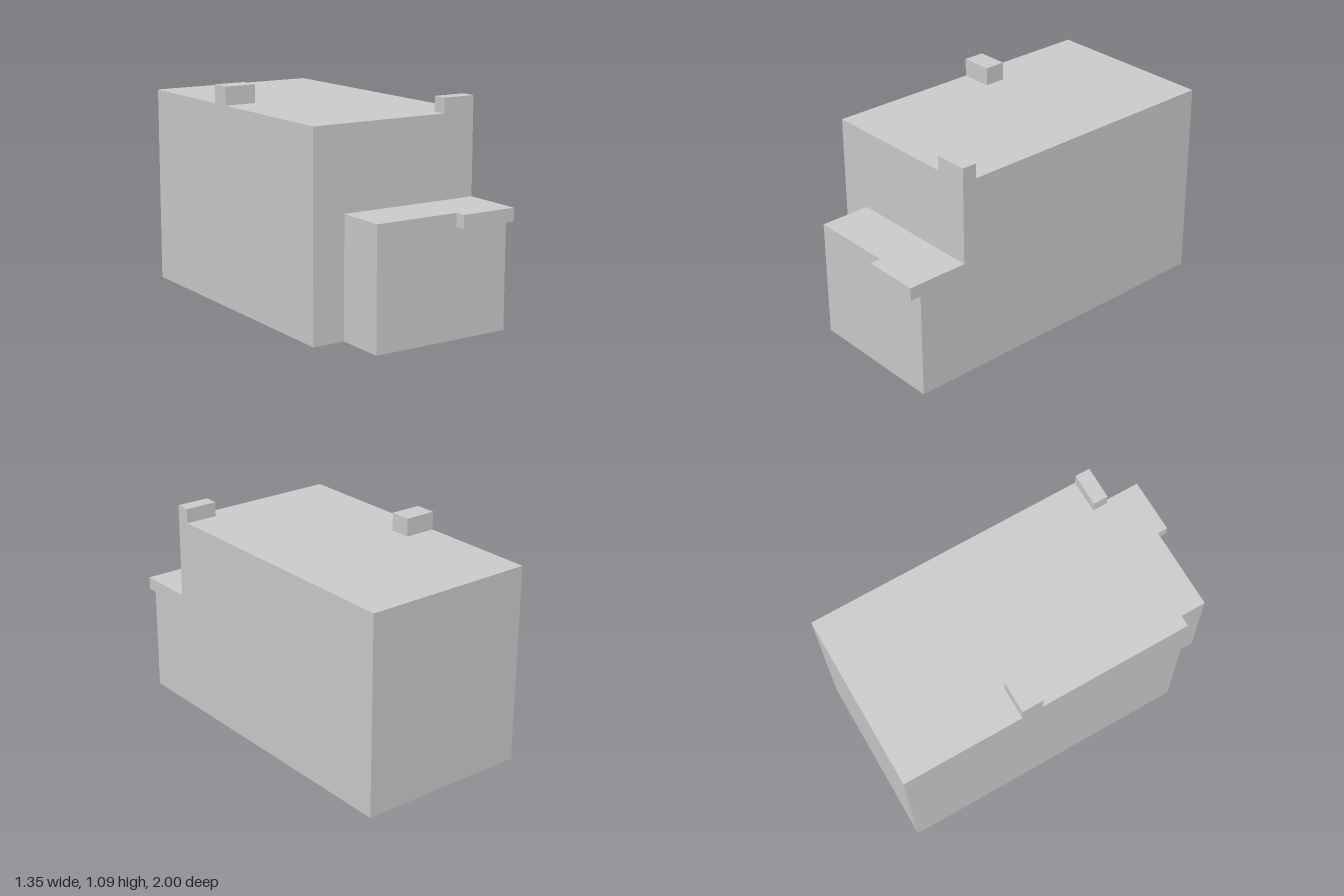
import * as THREE from 'three';

export function createModel() {
  const model = new THREE.Group();
  const building = new THREE.Group();
  building.name = 'building';
  // the whole building stands turned on its plot
  building.rotation.y = -0.353;
  building.position.set(-0.002, 0, -0.145);
  model.add(building);

  const material = new THREE.MeshStandardMaterial({ color: 0xcccccc, flatShading: true });

  // box given by its extents along the building's own axes
  function block(name, [x0, x1], [y0, y1], [z0, z1]) {
    const mesh = new THREE.Mesh(new THREE.BoxGeometry(x1 - x0, y1 - y0, z1 - z0), material);
    mesh.name = name;
    mesh.position.set((x0 + x1) / 2, (y0 + y1) / 2, (z0 + z1) / 2);
    building.add(mesh);
  }

  const side = 0.443, front = 0.746;

  // main volume and the lower front extension, flush on the left wall
  block('mainBlock', [-side, side], [0, 1], [-front, front]);
  block('frontExtension', [-0.278, side], [0, 0.592], [front, 1.001]);

  // thin canopy over the entrance
  block('canopy', [0.155, side], [0.527, 0.592], [1.001, 1.055]);

  // chimneys, each flush with an outer wall
  block('rightChimney', [-side, -0.281], [1, 1.091], [-0.136, -0.028]);
  block('frontChimney', [0.275, side], [1, 1.073], [0.671, front]);

  return model;
}
